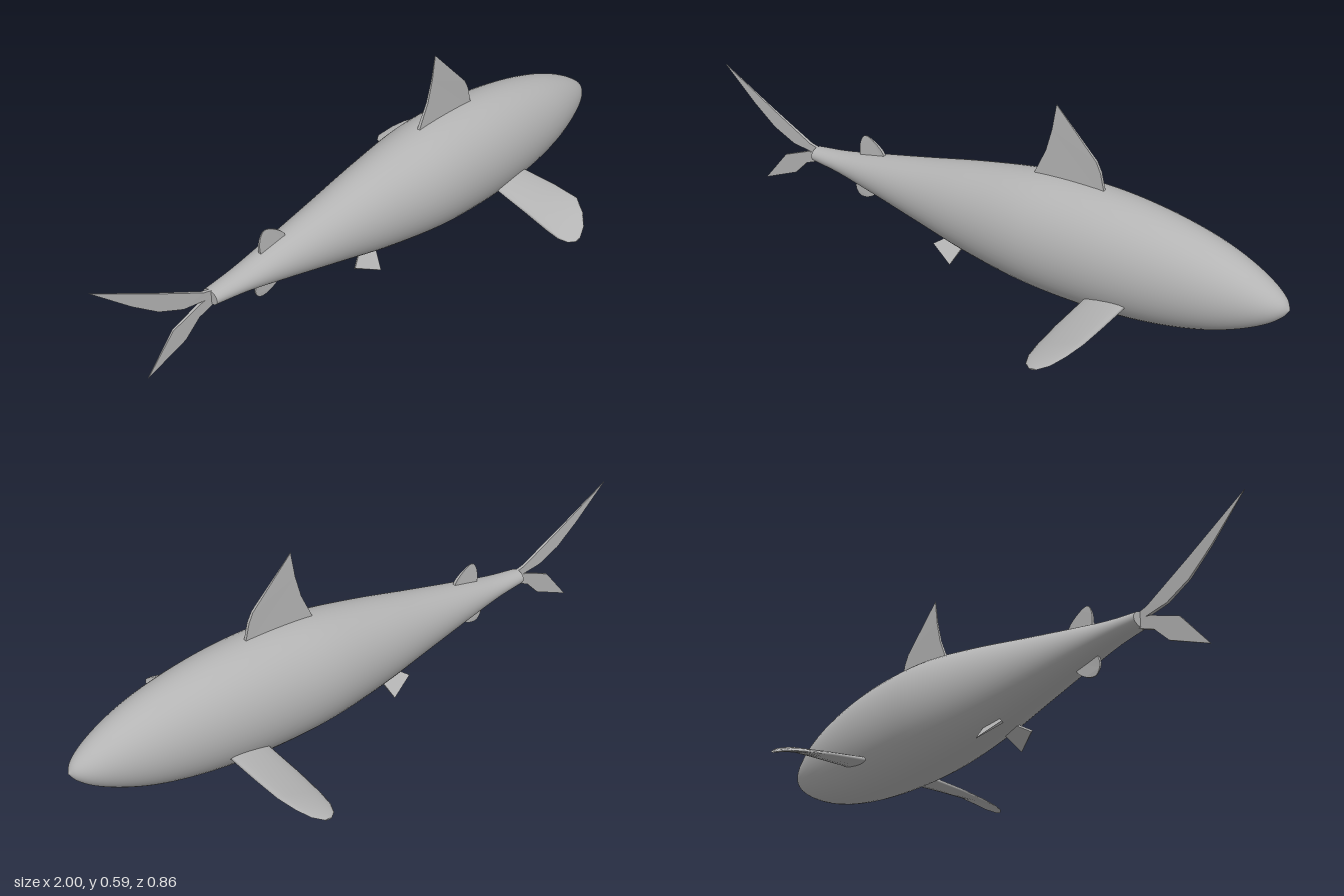
import * as THREE from 'three';

const skin = new THREE.MeshStandardMaterial({ color: 0xb4b4b4, side: THREE.DoubleSide });
skin.name = 'grey skin';

// Smooth skin over closed rings of points, with flat caps on both ends
function loft(rings) {
  const n = rings[0].length, pos = [], idx = [];
  rings.forEach(r => r.forEach(p => pos.push(...p)));
  for (let i = 0; i < rings.length - 1; i++) {
    for (let j = 0; j < n; j++) {
      const a = i * n + j, b = i * n + (j + 1) % n;
      idx.push(a, a + n, b, b, a + n, b + n);
    }
  }
  [rings[0], rings[rings.length - 1]].forEach((ring, end) => {
    const base = pos.length / 3;
    ring.forEach(p => pos.push(...p));
    for (let j = 1; j < n - 1; j++) {
      idx.push(base, ...(end ? [base + j + 1, base + j] : [base + j, base + j + 1]));
    }
  });
  const g = new THREE.BufferGeometry();
  g.setAttribute('position', new THREE.Float32BufferAttribute(pos, 3));
  g.setIndex(idx);
  g.computeVertexNormals();
  return g;
}

// Flat upright fin in the xy plane; its thickness thins toward the tip
function flatFin(points, tip, reach, thick = 0.01) {
  const shape = new THREE.Shape(points.map(p => new THREE.Vector2(...p)));
  const g = new THREE.ExtrudeGeometry(shape, { depth: thick, bevelEnabled: false });
  g.translate(0, 0, -thick / 2);
  const p = g.attributes.position;
  for (let i = 0; i < p.count; i++) {
    const d = Math.hypot(p.getX(i) - tip[0], p.getY(i) - tip[1]);
    p.setZ(i, p.getZ(i) * Math.min(1, 0.2 + 0.8 * d / reach));
  }
  g.computeVertexNormals();
  return g;
}

// Closed smooth outline through a few points
function rounded(points) {
  const c = new THREE.CatmullRomCurve3(points.map(p => new THREE.Vector3(p[0], p[1], 0)), true);
  return c.getPoints(28).slice(0, -1).map(v => [v.x, v.y]);
}

// Body: x, top y, bottom y, half width
const STATIONS = [
  [-0.625, 0.206, 0.160, 0.030], [-0.52, 0.219, 0.148, 0.042], [-0.4, 0.243, 0.124, 0.060],
  [-0.2, 0.285, 0.080, 0.092], [0, 0.328, 0.037, 0.125], [0.2, 0.361, 0.010, 0.152],
  [0.35, 0.369, 0.002, 0.155], [0.5, 0.364, 0.005, 0.149], [0.65, 0.344, 0.021, 0.133],
  [0.78, 0.313, 0.050, 0.110], [0.88, 0.275, 0.088, 0.081], [0.95, 0.236, 0.127, 0.051],
  [0.985, 0.208, 0.157, 0.025], [1, 0.184, 0.180, 0.002],
];

function bodyGeometry() {
  const upper = new THREE.CatmullRomCurve3(STATIONS.map(s => new THREE.Vector3(s[0], s[1], s[3])));
  const lower = new THREE.CatmullRomCurve3(STATIONS.map(s => new THREE.Vector3(s[0], s[2], s[3])));
  const rings = [], steps = 65, around = 48;
  for (let i = 0; i <= steps; i++) {
    const a = upper.getPoint(i / steps), b = lower.getPoint(i / steps);
    const mid = (a.y + b.y) / 2, half = (a.y - b.y) / 2, ring = [];
    for (let j = 0; j < around; j++) {
      const t = j / around * Math.PI * 2;
      ring.push([a.x, mid + half * Math.cos(t), a.z * Math.sin(t)]);
    }
    rings.push(ring);
  }
  return loft(rings);
}

// Side fin: lens sections from root to tip; z, leading x y, trailing x y, half thickness
function pectoralGeometry() {
  const sections = [
    [0.10, 0.575, 0.098, 0.445, 0.082, 0.014], [0.25, 0.575, 0.100, 0.432, 0.060, 0.011],
    [0.34, 0.570, 0.097, 0.426, 0.043, 0.008], [0.385, 0.545, 0.075, 0.427, 0.034, 0.006],
    [0.415, 0.515, 0.052, 0.438, 0.030, 0.004], [0.43, 0.480, 0.034, 0.458, 0.030, 0.002],
  ];
  return loft(sections.map(([z, lx, ly, tx, ty, h]) => {
    const ring = [];
    for (let j = 0; j < 16; j++) {
      const t = j / 16 * Math.PI * 2, k = (1 + Math.cos(t)) / 2;
      ring.push([tx + (lx - tx) * k, ty + (ly - ty) * k + h * Math.sin(t), z]);
    }
    return ring;
  }));
}

export function createModel() {
  const model = new THREE.Group();
  model.name = 'fish';
  const add = (name, geometry) => {
    const mesh = new THREE.Mesh(geometry, skin);
    mesh.name = name;
    model.add(mesh);
    return mesh;
  };

  add('body', bodyGeometry());

  // Back fin
  add('dorsalFin', flatFin([[0.19, 0.34], [0.235, 0.44], [0.253, 0.51], [0.265, 0.59],
    [0.40, 0.45], [0.415, 0.42], [0.435, 0.34]], [0.265, 0.59], 0.24));

  // Forked tail
  add('upperTailLobe', flatFin([[-0.60, 0.20], [-0.65, 0.213], [-0.80, 0.293], [-1, 0.405],
    [-0.88, 0.295], [-0.80, 0.232], [-0.72, 0.195], [-0.60, 0.178]], [-1, 0.405], 0.4));
  add('lowerTailLobe', flatFin([[-0.60, 0.19], [-0.66, 0.182], [-0.76, 0.142], [-0.855, 0.03],
    [-0.72, 0.088], [-0.67, 0.138], [-0.60, 0.166]], [-0.855, 0.03], 0.28));

  // Small rounded fins ahead of the tail
  add('rearUpperFin', flatFin(rounded([[-0.435, 0.22], [-0.443, 0.27], [-0.425, 0.303],
    [-0.39, 0.293], [-0.35, 0.255], [-0.36, 0.225]]), [-0.42, 0.305], 0.08));
  add('rearLowerFin', flatFin(rounded([[-0.45, 0.15], [-0.467, 0.11], [-0.45, 0.085],
    [-0.41, 0.092], [-0.375, 0.125], [-0.39, 0.15]]), [-0.45, 0.085], 0.07));

  // Paired fins on both flanks
  const pectoral = pectoralGeometry();
  const pelvic = flatFin([[-0.06, 0.05], [-0.126, -0.007], [-0.045, -0.052], [-0.018, 0.04]],
    [-0.045, -0.052], 0.1, 0.008);
  for (const [side, s] of [['left', 1], ['right', -1]]) {
    add(side + 'PectoralFin', s > 0 ? pectoral : pectoral.clone().scale(1, 1, -1))
      .geometry.name = side;
    const fin = add(side + 'PelvicFin', pelvic);
    fin.position.set(0, 0.044, s * 0.05);
    fin.rotation.x = -s * 0.75;
  }
  // Restore outward winding on the mirrored fin
  const mirrored = model.getObjectByName('rightPectoralFin').geometry;
  const order = mirrored.index.array;
  for (let i = 0; i < order.length; i += 3) [order[i], order[i + 1]] = [order[i + 1], order[i]];
  mirrored.computeVertexNormals();
  return model;
}
